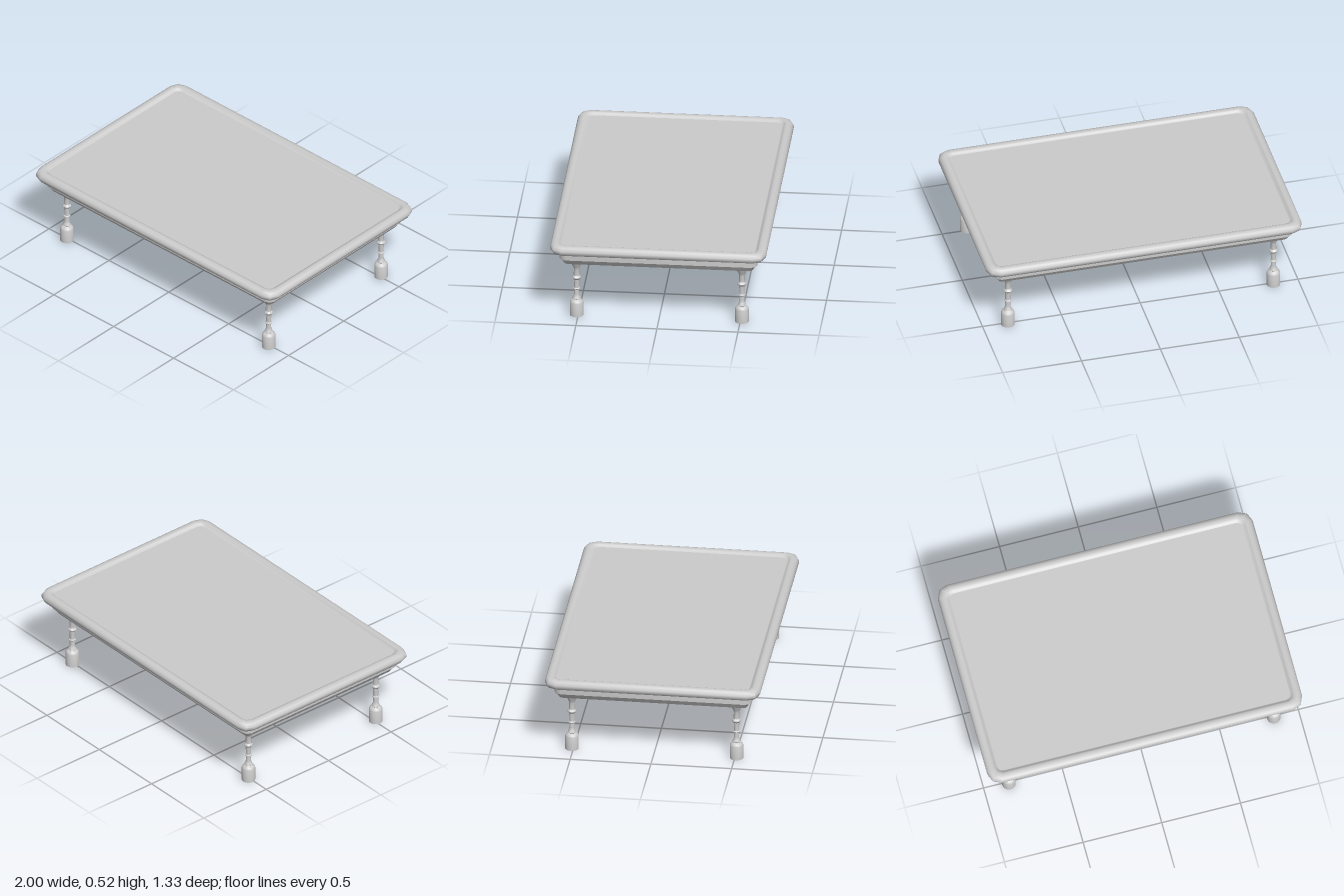
import * as THREE from 'three';
import { toCreasedNormals } from 'three/addons/utils/BufferGeometryUtils.js';

const material = new THREE.MeshStandardMaterial({ color: 0xcccccc, side: THREE.DoubleSide });
const HALF_X = 1, HALF_Z = 0.666, CORNER_STEPS = 2;

// Rounded rectangle, inset from the outer edge of the table
function outline(inset) {
  const r = 0.075 - 0.6 * inset;
  const cx = HALF_X - inset - r, cz = HALF_Z - inset - r;
  const points = [];
  [[1, 1], [-1, 1], [-1, -1], [1, -1]].forEach(([sx, sz], corner) => {
    for (let i = 0; i <= CORNER_STEPS; i++) {
      const a = (corner + i / CORNER_STEPS) * Math.PI / 2;
      points.push(new THREE.Vector2(sx * cx + r * Math.cos(a), sz * cz + r * Math.sin(a)));
    }
  });
  return points;
}

// Sweep a profile of [inset, y] pairs around the table outline
function sweep(profile) {
  const loops = profile.map(([inset]) => outline(inset));
  const n = loops[0].length;
  const positions = [], index = [];
  loops.forEach((loop, j) => loop.forEach((p) => positions.push(p.x, profile[j][1], p.y)));
  for (let j = 0; j < loops.length - 1; j++) {
    for (let i = 0; i < n; i++) {
      const a = j * n + i, b = j * n + (i + 1) % n;
      index.push(a, b, a + n, b, b + n, a + n);
    }
  }
  const geometry = new THREE.BufferGeometry();
  geometry.setAttribute('position', new THREE.Float32BufferAttribute(positions, 3));
  geometry.setIndex(index);
  return toCreasedNormals(geometry, 0.85);
}

// Flat sheet filling the outline, facing up (1) or down (-1)
function sheet(inset, y, facing) {
  const geometry = new THREE.ShapeGeometry(new THREE.Shape(outline(inset)));
  return geometry.rotateX(-facing * Math.PI / 2).translate(0, y, 0);
}

function add(parent, name, geometry) {
  const mesh = new THREE.Mesh(geometry, material);
  mesh.name = name;
  parent.add(mesh);
  return mesh;
}

export function createModel() {
  const table = new THREE.Group();
  table.name = 'table';

  // Table top: recessed flat panel inside a rounded rim
  add(table, 'topPanel', sheet(0.068, 0.507, 1));
  add(table, 'topRim', sweep([
    [0.068, 0.507], [0.06, 0.51], [0.055, 0.517], [0.045, 0.521], [0.028, 0.521],
    [0.011, 0.515], [0, 0.497], [0, 0.483], [0.011, 0.466], [0.026, 0.459], [0.056, 0.459],
  ]));

  // Apron: upright band, small step, slanted foot and inner wall
  add(table, 'apron', sweep([
    [0.056, 0.459], [0.056, 0.413], [0.06, 0.413], [0.084, 0.377], [0.086, 0.377], [0.086, 0.488],
  ]));
  add(table, 'underside', sheet(0.086, 0.488, -1));

  // Turned legs, open at the foot
  const legProfile = [
    [0.042, 0], [0.042, 0.088], [0.038, 0.098], [0.028, 0.106], [0.022, 0.11],
    [0.026, 0.114], [0.024, 0.12], [0.018, 0.13], [0.016, 0.145], [0.016, 0.175],
    [0.022, 0.18], [0.022, 0.183], [0.016, 0.188], [0.016, 0.215], [0.018, 0.243],
    [0.027, 0.254], [0.027, 0.259], [0.018, 0.27], [0.017, 0.315],
    [0.021, 0.328], [0.037, 0.358], [0.042, 0.374], [0.042, 0.488],
  ].map(([r, y]) => new THREE.Vector2(r, y));
  const legGeometry = toCreasedNormals(new THREE.LatheGeometry(legProfile, 20), 0.6);
  for (const [zName, sz] of [['front', 1], ['back', -1]]) {
    for (const [xName, sx] of [['Left', 1], ['Right', -1]]) {
      add(table, `${zName}${xName}Leg`, legGeometry).position.set(sx * 0.842, 0, sz * 0.51);
    }
  }
  return table;
}
